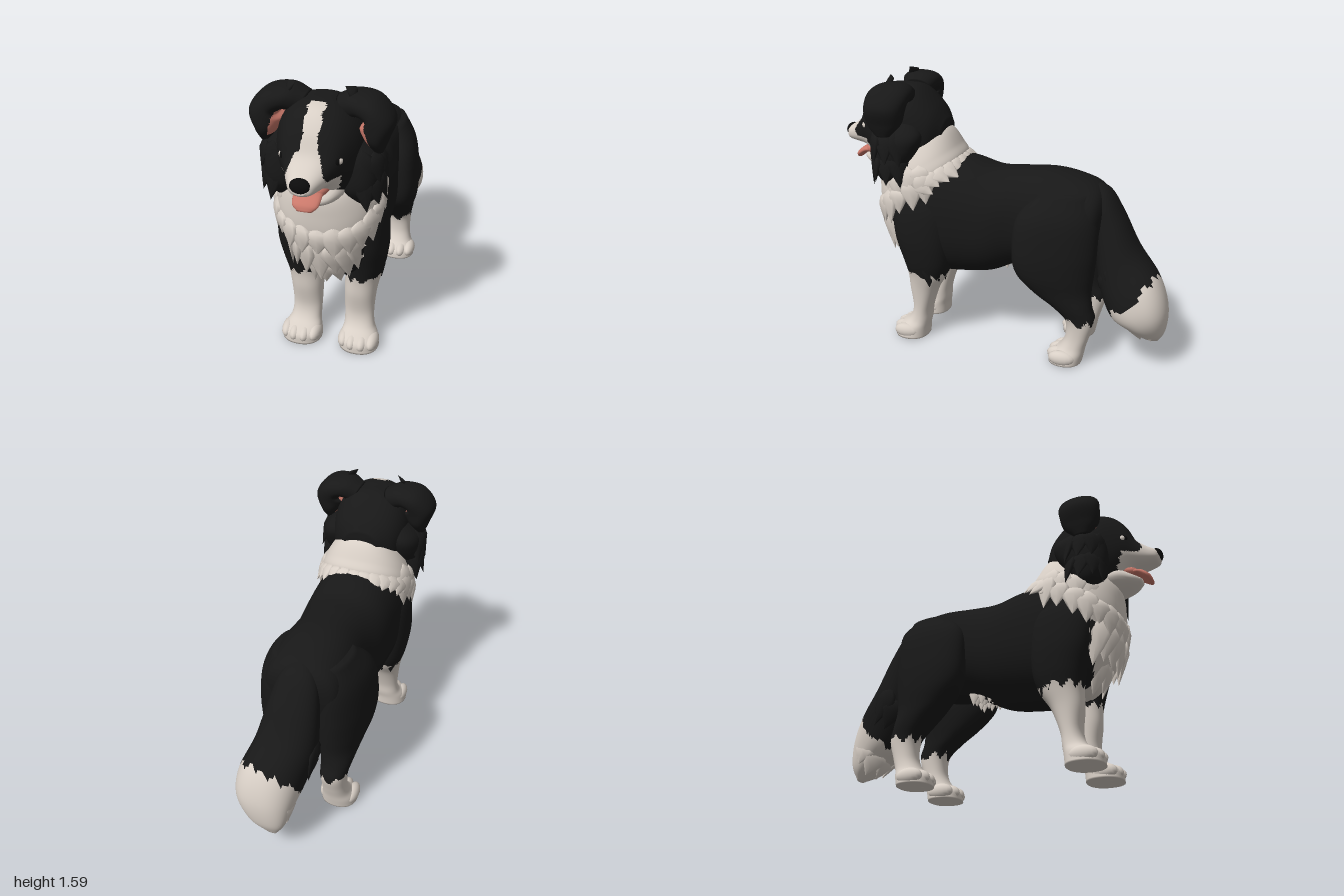
import * as THREE from 'three';
import { mergeGeometries } from 'three/addons/utils/BufferGeometryUtils.js';

const mat = (name, color) => Object.assign(new THREE.MeshStandardMaterial({ color }), { name });
const V = (x, y, z) => new THREE.Vector3(x, y, z);

// Ring from its top/back point A and bottom/front point B (z, y), half width w, centre x and sideways skew
const ring = ([za, ya, zb, yb, w, x = 0, skew = 0]) => ({
  c: V(x, (ya + yb) / 2, (za + zb) / 2), u: V(w, 0, 0), v: V(skew, (ya - yb) / 2, (za - zb) / 2),
});
// Point on a ring, slightly squarer than an ellipse
const onRing = (r, a) => {
  const p = (k) => Math.sign(k) * Math.abs(k) ** 0.88;
  return r.c.clone().addScaledVector(r.u, p(Math.cos(a))).addScaledVector(r.v, p(Math.sin(a)));
};
const saw = (t) => Math.abs(((t % 1) + 1) % 1 - 0.5) * 2;

// Smooth closed skin through rings; paint(point) picks a material for each face
function loft(name, mats, rings, paint = () => 0, rows = 40, cols = 48) {
  const curve = (k) => new THREE.CatmullRomCurve3(rings.map((r) => r[k]), false, 'catmullrom', 0.5);
  const [cc, uc, vc] = ['c', 'u', 'v'].map(curve);
  const pts = [];
  for (let i = 0; i <= rows; i++) {
    const t = i / rows, r = { c: cc.getPoint(t), u: uc.getPoint(t), v: vc.getPoint(t) };
    for (let j = 0; j < cols; j++) pts.push(onRing(r, (j / cols) * Math.PI * 2));
  }
  const end = pts.push(cc.getPoint(0), cc.getPoint(1)) - 1;
  const faces = [];
  for (let j = 0; j < cols; j++) {
    const k = (j + 1) % cols;
    for (let i = 0; i < rows; i++) {
      const a = i * cols + j, b = i * cols + k;
      faces.push([a, b, b + cols], [a, b + cols, a + cols]);
    }
    faces.push([end - 1, k, j], [end, rows * cols + j, rows * cols + k]);
  }
  // Keep faces pointing outward whichever way the rings run
  const volume = faces.reduce((s, [a, b, c]) => s + pts[a].dot(pts[b].clone().cross(pts[c])), 0);
  const sets = mats.map(() => []);
  for (const [a, b, c] of faces) {
    const mid = pts[a].clone().add(pts[b]).add(pts[c]).divideScalar(3);
    sets[Number(paint(mid))].push(a, ...(volume > 0 ? [b, c] : [c, b]));
  }
  const geo = new THREE.BufferGeometry().setFromPoints(pts);
  geo.setIndex(sets.flat());
  let start = 0;
  sets.forEach((s, i) => { geo.addGroup(start, s.length, i); start += s.length; });
  geo.computeVertexNormals();
  const mesh = new THREE.Mesh(geo, mats);
  mesh.name = name;
  return mesh;
}

// Row of flat pointed fur locks along part of a ring (angles in degrees)
const lockProfile = [[0, -0.45], [0.75, -0.2], [1, 0.1], [0.6, 0.5], [0, 1]];
function fringe(name, material, r, a0, a1, n, dir, len, width, flare = 0.1) {
  const locks = [];
  for (let i = 0; i < n; i++) {
    const a = THREE.MathUtils.degToRad(a0 + ((a1 - a0) * i) / Math.max(1, n - 1));
    const p = onRing(r, a), out = p.clone().sub(r.c).normalize();
    const d = V(...dir).normalize().addScaledVector(out, flare).normalize();
    const side = d.clone().cross(out).normalize(), l = len * (0.8 + 0.35 * saw(i * 0.37));
    const g = new THREE.LatheGeometry(lockProfile.map(([x, y]) => new THREE.Vector2(x, y)), 8).scale(width, l, width * 0.35);
    locks.push(g.applyMatrix4(new THREE.Matrix4().makeBasis(side, d, side.clone().cross(d)).setPosition(p)));
  }
  const mesh = new THREE.Mesh(mergeGeometries(locks), material);
  mesh.name = name;
  return mesh;
}

function ball(name, material, [x, y, z], [sx, sy, sz]) {
  const mesh = new THREE.Mesh(new THREE.SphereGeometry(1, 16, 12).scale(sx, sy, sz), material);
  mesh.position.set(x, y, z);
  mesh.name = name;
  return mesh;
}

export function createModel() {
  const black = mat('blackFur', 0x181818), white = mat('whiteFur', 0xd8cfc6);
  const pink = mat('pinkSkin', 0xc9786a), dark = mat('noseBlack', 0x0c0c0c);
  const fur = [black, white];
  const dog = new THREE.Group();
  dog.name = 'dog';
  const skin = (name, rows, paint, nr, nc) => dog.add(loft(name, fur, rows.map(ring), paint, nr, nc));

  // Torso with white bib
  const bib = (p) => p.z > 0.5 && Math.abs(p.x) < Math.min(0.19, (p.y - 0.4) * 0.75) + 0.03 * saw(p.y * 11);
  skin('torso', [
    [0.74, 0.88, 0.735, 0.76, 0.05], [0.715, 0.96, 0.71, 0.67, 0.13], [0.65, 1.03, 0.63, 0.55, 0.2],
    [0.55, 1.1, 0.55, 0.46, 0.25], [0.4, 1.15, 0.4, 0.42, 0.27], [0.2, 1.13, 0.2, 0.43, 0.27],
    [0.04, 1.09, 0.04, 0.46, 0.262], [-0.12, 1.1, -0.12, 0.53, 0.23], [-0.3, 1.11, -0.3, 0.55, 0.235],
    [-0.45, 1.085, -0.45, 0.6, 0.23], [-0.56, 1.04, -0.56, 0.68, 0.2], [-0.61, 0.97, -0.6, 0.78, 0.1],
  ], bib, 64, 72);

  // Neck ruff and its layered locks
  const collar = [0.25, 1.13, 0.745, 0.82, 0.275];
  skin('neckRuff', [
    [0.4, 1.33, 0.7, 1.12, 0.16], [0.33, 1.28, 0.75, 1.04, 0.21], [0.28, 1.2, 0.755, 0.93, 0.26],
    collar, [0.34, 1.06, 0.71, 0.7, 0.23],
  ], (p) => p.y - 0.5 * (0.5 - p.z) > 0.82 || p.z > 0.58);
  const collarRing = ring(collar);
  dog.add(fringe('ruffBackLocks', white, collarRing, 15, 165, 13, [0, -0.5, -0.8], 0.09, 0.06, 0.08));
  dog.add(fringe('ruffFrontLocks', white, collarRing, -200, 20, 15, [0, -1, -0.12], 0.13, 0.07));
  dog.add(fringe('ruffSideLocks', white, ring([0.3, 1.12, 0.7, 0.98, 0.265]), -200, 20, 13, [0, -1, -0.15], 0.13, 0.07, 0.2));
  dog.add(fringe('chestLocks', white, ring([0.45, 0.85, 0.72, 0.72, 0.19]), -155, -25, 7, [0, -1, -0.2], 0.19, 0.075, 0.05));
  dog.add(fringe('lowerChestLocks', white, ring([0.45, 0.7, 0.64, 0.58, 0.11]), -130, -50, 3, [0, -1, -0.3], 0.16, 0.065, 0));
  for (const z of [-0.03, -0.08, -0.13])
    dog.add(fringe('bellyLocks', white, ring([z, 0.7, z, 0.545, 0.13]), -120, -60, 4, [0, -1, -0.1], 0.07, 0.035, 0));

  // Head with blaze and white muzzle
  skin('head', [
    [0.34, 1.34, 0.36, 1.15, 0.1], [0.4, 1.43, 0.42, 1.08, 0.18], [0.5, 1.52, 0.51, 1.02, 0.22],
    [0.6, 1.535, 0.6, 1.0, 0.228], [0.69, 1.53, 0.68, 1.03, 0.212], [0.76, 1.5, 0.75, 1.07, 0.182],
    [0.82, 1.43, 0.81, 1.13, 0.148], [0.865, 1.335, 0.85, 1.155, 0.118], [0.92, 1.285, 0.91, 1.165, 0.088],
    [0.97, 1.255, 0.965, 1.175, 0.06], [0.985, 1.235, 0.985, 1.19, 0.03],
  ], (p) => p.z > 0.755 + (p.y - 1.12) * 0.43 + 0.012 * saw(p.y * 25)
      && (p.y < 1.22 || Math.abs(p.x) < 0.04 + Math.max(0, 1.4 - p.y) * 0.35)
    || (p.z > 0.68 && p.y > 1.3 && Math.abs(p.x - 0.008) < 0.035 + 0.012 * saw(p.z * 14)), 72, 112);
  skin('lowerJaw', [
    [0.66, 1.15, 0.66, 1.02, 0.14], [0.76, 1.15, 0.75, 1.035, 0.13],
    [0.83, 1.115, 0.82, 1.05, 0.09], [0.875, 1.095, 0.87, 1.07, 0.035],
  ], () => 1, 16, 24);
  dog.add(loft('mouth', [pink], [[0.72, 1.17, 0.72, 1.1, 0.1], [0.83, 1.165, 0.83, 1.1, 0.075], [0.86, 1.15, 0.86, 1.11, 0.04]].map(ring), undefined, 10, 20));
  dog.add(loft('tongue', [pink], [
    [0.76, 1.14, 0.76, 1.1, 0.06], [0.86, 1.145, 0.85, 1.105, 0.07], [0.92, 1.11, 0.895, 1.08, 0.065], [0.935, 1.075, 0.915, 1.065, 0.035],
  ].map(ring), undefined, 14, 20));
  dog.add(ball('nose', dark, [0, 1.23, 0.966], [0.052, 0.038, 0.034]));

  // Tail with white tip
  const tailRows = [
    [-0.5, 1.06, -0.48, 0.88, 0.08], [-0.61, 1.02, -0.54, 0.82, 0.115], [-0.7, 0.89, -0.56, 0.66, 0.145, 0.01],
    [-0.8, 0.71, -0.59, 0.47, 0.17, 0.03], [-0.925, 0.56, -0.67, 0.31, 0.18, 0.075],
    [-0.985, 0.4, -0.77, 0.25, 0.16, 0.085], [-0.985, 0.25, -0.86, 0.19, 0.105, 0.06], [-0.945, 0.15, -0.925, 0.15, 0.03, 0.03],
  ];
  skin('tail', tailRows, (p) => p.y < 0.33 - (p.z + 0.7) * 1.05 + 0.07 * saw(p.x * 14) + Math.min(0, p.x - 0.12) * 0.4, 56, 56);
  dog.add(fringe('tailLocks', black, ring([-0.76, 0.7, -0.61, 0.47, 0.15, 0.02]), 180, 360, 7, [0.05, -0.85, -0.45], 0.15, 0.07, 0));
  dog.add(fringe('tailTipLocks', white, ring([-0.94, 0.38, -0.79, 0.26, 0.12, 0.07]), 0, 315, 8, [-0.15, -0.85, -0.35], 0.12, 0.075, -0.1));

  for (const s of [1, -1]) {
    const side = s > 0 ? 'left' : 'right';
    const limb = (part, rows, paint) =>
      skin(side + part, rows.map(([y, zb, zf, x, w, k = 0]) => [zb, y, zf, y, w, x * s, k * s]), paint, 56, 48);

    // Front leg: y, back z, front z, x, half width, skew
    limb('FrontLeg', [
      [0.98, 0.34, 0.55, 0.15, 0.07], [0.85, 0.27, 0.62, 0.175, 0.11], [0.68, 0.27, 0.61, 0.19, 0.115],
      [0.53, 0.28, 0.57, 0.18, 0.11], [0.43, 0.31, 0.55, 0.165, 0.1], [0.33, 0.37, 0.545, 0.155, 0.09],
      [0.2, 0.415, 0.53, 0.152, 0.083], [0.12, 0.425, 0.56, 0.157, 0.086], [0.07, 0.435, 0.635, 0.165, 0.105], [0.01, 0.44, 0.645, 0.167, 0.112],
    ], (p) => p.y < 0.42 + 0.04 * saw(p.x * 14 + p.z * 9) || bib(p));
    // Hind leg
    limb('HindLeg', [
      [1.02, -0.52, -0.25, 0.13, 0.08, -0.01], [0.88, -0.58, -0.14, 0.175, 0.115, -0.035], [0.7, -0.585, -0.12, 0.195, 0.12, -0.04],
      [0.56, -0.575, -0.14, 0.19, 0.12, -0.035], [0.45, -0.565, -0.23, 0.18, 0.105, -0.02], [0.36, -0.575, -0.34, 0.175, 0.09],
      [0.28, -0.595, -0.42, 0.17, 0.077], [0.18, -0.57, -0.43, 0.17, 0.072], [0.11, -0.55, -0.4, 0.172, 0.08],
      [0.06, -0.54, -0.345, 0.177, 0.1], [0.01, -0.53, -0.335, 0.178, 0.105],
    ], (p) => p.y < 0.25 + 0.05 * saw(p.x * 13 + p.z * 9));
    // Toes
    for (const [paw, z, x] of [['Front', 0.585, 0.167], ['Hind', -0.395, 0.177]])
      [-0.078, -0.028, 0.028, 0.078].forEach((dx) => dog.add(
        ball(side + paw + 'Toe', white, [s * (x + dx), 0.052, z - Math.abs(dx) * 0.4], [0.038, 0.045, 0.078])));
    // Feathering behind the elbow
    dog.add(fringe(side + 'ElbowLocks', black, ring([0.32, 0.5, 0.54, 0.5, 0.09, s * 0.17]), 20, 160, 5, [0, -1, 0], 0.11, 0.05, 0));

    // Cheek fur
    limb('Cheek', [
      [1.36, 0.48, 0.67, 0.16, 0.05], [1.28, 0.43, 0.72, 0.19, 0.1], [1.2, 0.45, 0.735, 0.198, 0.108],
      [1.1, 0.51, 0.73, 0.195, 0.1], [1.03, 0.56, 0.69, 0.195, 0.08], [0.98, 0.6, 0.65, 0.195, 0.03],
    ], () => 0);
    const arc = (a) => (s > 0 ? a : 180 - a);
    [[1.25, 0.1], [1.13, 0.095]].forEach(([y, w]) => dog.add(fringe(side + 'CheekLocks', black,
      ring([0.51, y, 0.71, y, w, s * 0.2]), arc(-75), arc(75), 5, [s * 0.1, -1, -0.1], 0.13, 0.055, 0.15)));

    // Folded ear: x, y, z, thickness x, thickness y, half depth
    const ear = [
      [0.1, 1.48, 0.58, -0.03, 0.055, 0.08], [0.175, 1.51, 0.59, -0.015, 0.06, 0.11], [0.25, 1.49, 0.6, 0.03, 0.062, 0.12],
      [0.277, 1.43, 0.61, 0.085, 0.025, 0.115], [0.275, 1.355, 0.615, 0.06, -0.005, 0.1], [0.285, 1.29, 0.62, 0.025, -0.005, 0.045],
    ].map(([x, y, z, tx, ty, d]) => ({ c: V(s * x, y, z), u: V(0, 0, d), v: V(s * tx, ty, 0) }));
    dog.add(loft(side + 'Ear', [black, pink], ear,
      (p) => p.y > 1.33 && p.y < 1.45 && s * p.x < 0.225 + (1.44 - p.y) * 0.3 && p.z > 0.56, 48, 48));
    dog.add(fringe(side + 'EarTopLock', black, ear[1], 75, 75, 1, [-s * 0.7, 0.6, 0.2], 0.045, 0.035, 0));

    // Eye with a pale rim
    dog.add(ball(side + 'EyeRim', white, [s * 0.138, 1.3, 0.806], [0.02, 0.02, 0.02]));
    dog.add(ball(side + 'Eye', dark, [s * 0.125, 1.3, 0.814], [0.024, 0.026, 0.024]));
  }
  return dog;
}
